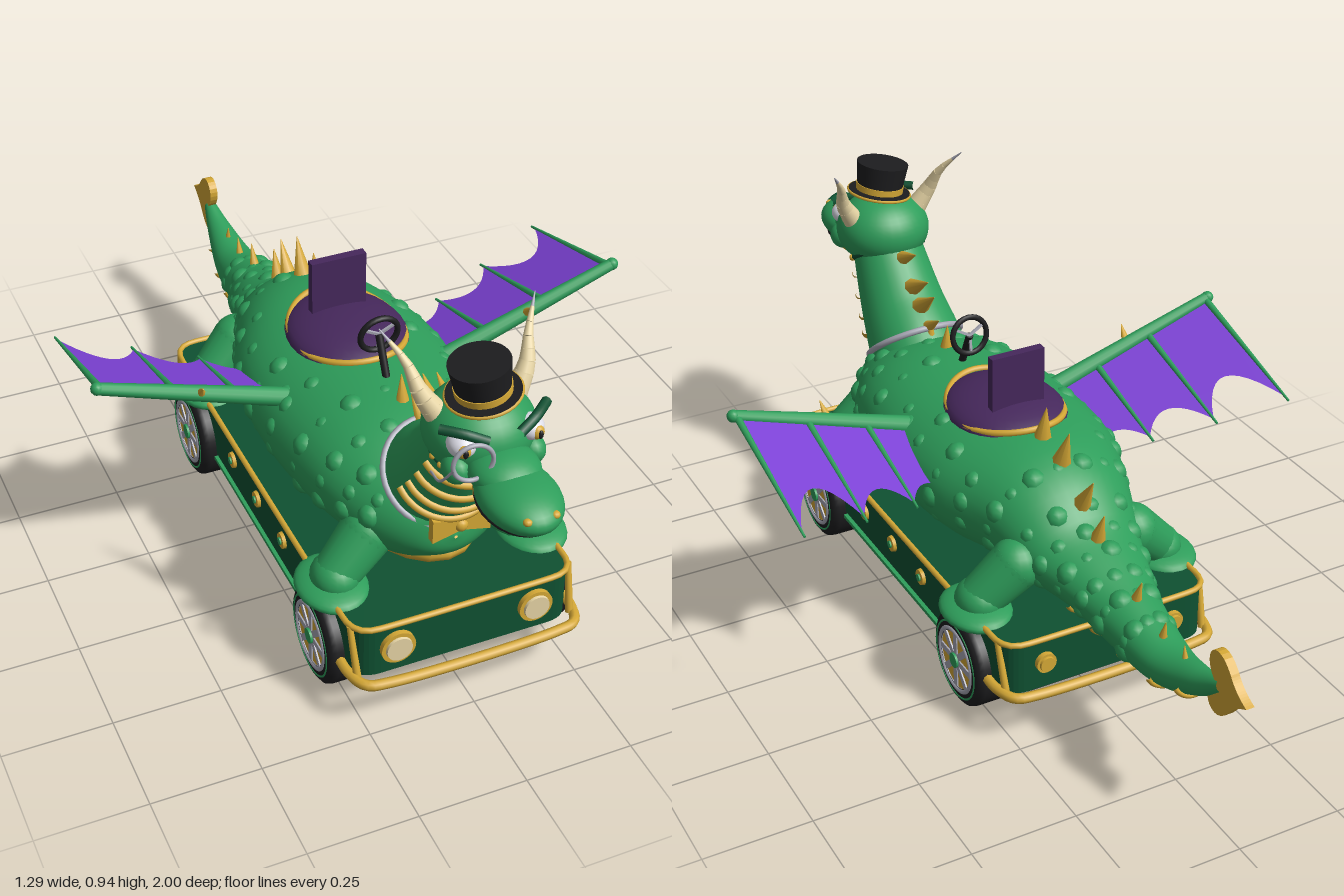
import * as THREE from 'three';

const mat = (name, color) => Object.assign(new THREE.MeshStandardMaterial({ color }), { name });
const V = (x, y, z) => new THREE.Vector3(x, y, z);

export function createModel() {
  const root = new THREE.Group();
  root.name = 'dragonCar';
  const green = mat('scale green', 0x2e9e5b), dark = mat('coach green', 0x0f5132);
  const gold = mat('gold', 0xd6a936), black = mat('black', 0x1d1d1f);
  const violet = mat('wing violet', 0x7d42d6), plum = mat('seat plum', 0x46285c);
  const cream = mat('horn cream', 0xe8d6a6), silver = mat('silver', 0xa9a9b6), white = mat('eye white', 0xdedee8);
  violet.side = THREE.DoubleSide;

  // Helpers
  const add = (name, geo, m, parent = root) => {
    const mesh = new THREE.Mesh(geo, m);
    mesh.name = name;
    parent.add(mesh);
    return mesh;
  };
  const ball = (name, m, p, r, w = 24, h = 16) => {
    const b = add(name, new THREE.SphereGeometry(1, w, h), m);
    b.position.set(...p);
    b.scale.set(...r);
    return b;
  };
  const box = (name, m, p, s, parent) => {
    const b = add(name, new THREE.BoxGeometry(...s), m, parent);
    b.position.set(...p);
    return b;
  };
  const tube = (name, pts, r, m, closed = false, n = 32) =>
    add(name, new THREE.TubeGeometry(new THREE.CatmullRomCurve3(pts, closed), n, r, 8, closed), m);
  const rod = (name, a, b, r0, r1, m, sides = 12) => {
    const d = b.clone().sub(a);
    const c = add(name, new THREE.CylinderGeometry(r1, r0, d.length(), sides), m);
    c.position.copy(a).addScaledVector(d, 0.5);
    c.quaternion.setFromUnitVectors(V(0, 1, 0), d.normalize());
    return c;
  };

  // Elliptical loft along a spine in the x = 0 plane; rows are [z, y, halfWidth, halfHeight]
  const makeLoft = (rows) => {
    const spine = new THREE.CatmullRomCurve3(rows.map(([z, y]) => V(0, y, z)), false, 'catmullrom');
    const radii = new THREE.CatmullRomCurve3(rows.map((r) => V(r[2], r[3], 0)), false, 'catmullrom');
    const at = (t, a, lift = 0) => {
      const c = spine.getPoint(t), r = radii.getPoint(t), d = spine.getTangent(t);
      const n = V(0, -d.z, d.y);
      const p = c.addScaledVector(n, (r.y + lift) * Math.sin(a));
      p.x = (r.x + lift) * Math.cos(a);
      return p;
    };
    const geometry = (steps, sides) => {
      const pos = [], idx = [];
      for (let i = 0; i <= steps; i++) for (let j = 0; j < sides; j++) {
        pos.push(...at(i / steps, (j / sides) * Math.PI * 2).toArray());
        if (i === steps) continue;
        const a = i * sides + j, b = i * sides + ((j + 1) % sides);
        idx.push(a, a + sides, b, b, a + sides, b + sides);
      }
      const g = new THREE.BufferGeometry();
      g.setAttribute('position', new THREE.Float32BufferAttribute(pos, 3));
      g.setIndex(idx);
      g.computeVertexNormals();
      return g;
    };
    return { at, geometry };
  };
  const band = (name, loft, t, a0, a1, r, m) => {
    const full = a1 - a0 > 6.2, n = 16;
    const pts = Array.from({ length: full ? n : n + 1 }, (_, i) => loft.at(t, a0 + ((a1 - a0) * i) / n, 0.002));
    return tube(name, pts, r, m, full, 40);
  };
  const spike = (loft, t, a, h) => {
    const base = loft.at(t, a, -0.01), tip = loft.at(t, a, h);
    tip.z -= h * 0.2;
    rod('backSpike', base, tip, h * 0.28, 0.001, gold, 8);
  };

  // Body and tail
  const body = makeLoft([
    [0.63, 0.38, 0.004, 0.004], [0.615, 0.38, 0.08, 0.06], [0.57, 0.385, 0.14, 0.1], [0.48, 0.39, 0.195, 0.13],
    [0.35, 0.402, 0.237, 0.153], [0.15, 0.403, 0.258, 0.157], [-0.05, 0.405, 0.245, 0.155], [-0.2, 0.4, 0.19, 0.142],
    [-0.33, 0.355, 0.145, 0.097], [-0.44, 0.333, 0.108, 0.073], [-0.55, 0.303, 0.078, 0.067],
    [-0.7, 0.285, 0.057, 0.049], [-0.82, 0.318, 0.034, 0.032], [-0.9, 0.36, 0.015, 0.015]]);
  add('body', body.geometry(72, 40), green);
  ball('belly', gold, [0, 0.31, 0.3], [0.165, 0.08, 0.31]);
  for (let i = 0; i < 15; i++) {
    const t = 0.2 + i * 0.043, n = i < 9 ? 11 : 7;
    for (let j = 0; j < n; j++) {
      const a = -0.35 + ((j + (i % 2) * 0.5) / (n - 0.5)) * 3.84;
      const p = body.at(t, a, -0.02);
      if (Math.abs(p.x) < 0.14 && p.y > 0.48 && p.z < 0.24 && p.z > -0.16) continue;
      const r = 0.027 + 0.004 * Math.sin(i * 5 + j * 3);
      ball('scaleBump', green, p.toArray(), [r, r, r], 10, 8);
    }
  }
  [[0.27, 0.05], [0.31, 0.06], [0.505, 0.08], [0.54, 0.085], [0.585, 0.08], [0.65, 0.07], [0.77, 0.05], [0.83, 0.04], [0.89, 0.03]]
    .forEach(([t, h]) => spike(body, t, Math.PI / 2, h));
  for (const t of [0.7, 0.75, 0.8, 0.85, 0.9]) band('tailBand', body, t, Math.PI + 0.3, Math.PI * 2 - 0.3, 0.007, gold);

  // Tail spade
  const spade = new THREE.Shape();
  spade.moveTo(0.885, 0.365);
  spade.bezierCurveTo(0.83, 0.42, 0.89, 0.48, 0.94, 0.415);
  spade.quadraticCurveTo(0.96, 0.385, 1, 0.37);
  spade.quadraticCurveTo(0.96, 0.35, 0.94, 0.32);
  spade.bezierCurveTo(0.89, 0.25, 0.83, 0.31, 0.885, 0.365);
  add('tailSpade', new THREE.ExtrudeGeometry(spade, { depth: 0.02, bevelEnabled: false })
    .rotateY(Math.PI / 2).translate(-0.01, 0, 0), gold);

  // Neck with bands, collar and bow
  const neck = makeLoft([[0.45, 0.38, 0.13, 0.13], [0.525, 0.48, 0.12, 0.12], [0.6, 0.565, 0.106, 0.102],
    [0.675, 0.68, 0.09, 0.082], [0.7, 0.73, 0.08, 0.075]]);
  add('neck', neck.geometry(24, 32), green);
  for (const t of [0.4, 0.49, 0.58, 0.67]) band('neckBand', neck, t, 0.15, Math.PI - 0.15, 0.009, gold);
  band('choker', neck, 0.76, 0, Math.PI * 2, 0.007, dark);
  for (let i = 0; i <= 10; i++)
    ball('chokerBead', gold, neck.at(0.76, 0.2 + i * 0.274, 0.006).toArray(), [0.008, 0.008, 0.008], 8, 6);
  band('collar', neck, 0.27, 0, Math.PI * 2, 0.008, silver);
  [[0.28, 0.06], [0.4, 0.085], [0.54, 0.085], [0.68, 0.07]].forEach(([t, h]) => spike(neck, t, -Math.PI / 2, h));
  const bow = new THREE.Shape([[0, 0.011], [0.068, 0.032], [0.068, -0.028], [0, -0.011], [-0.068, -0.028], [-0.068, 0.032]]
    .map((p) => new THREE.Vector2(...p)));
  add('bowTie', new THREE.ExtrudeGeometry(bow, { depth: 0.02, bevelEnabled: false }), gold).position.set(0, 0.43, 0.635);
  ball('bowKnot', gold, [0, 0.43, 0.65], [0.016, 0.016, 0.014], 12, 8);

  // Head
  ball('head', green, [0, 0.735, 0.705], [0.118, 0.092, 0.115], 32, 24);
  ball('snout', green, [0, 0.685, 0.885], [0.082, 0.047, 0.113], 32, 20);
  ball('muzzleBridge', green, [0, 0.705, 0.82], [0.075, 0.045, 0.08]);
  ball('mouth', black, [0, 0.655, 0.87], [0.074, 0.018, 0.105]);
  ball('lowerJaw', gold, [0, 0.643, 0.85], [0.064, 0.026, 0.105]);
  for (const s of [1, -1]) {
    ball('nostril', gold, [s * 0.03, 0.7, 0.978], [0.01, 0.008, 0.01], 10, 8);
    ball('cheek', green, [s * 0.083, 0.7, 0.775], [0.03, 0.032, 0.035], 16, 12);
    ball('eye', white, [s * 0.075, 0.76, 0.778], [0.03, 0.026, 0.034], 20, 14);
    ball('iris', gold, [s * 0.08, 0.76, 0.802], [0.015, 0.016, 0.013], 14, 10);
    ball('pupil', black, [s * 0.082, 0.76, 0.813], [0.006, 0.01, 0.005], 10, 8);
    tube('brow', [V(s * 0.035, 0.78, 0.815), V(s * 0.075, 0.797, 0.8), V(s * 0.118, 0.8, 0.765)], 0.011, dark, false, 12);
    // Horns taper in segments to a silver tip
    const horn = new THREE.CatmullRomCurve3([V(s * 0.085, 0.775, 0.69), V(s * 0.118, 0.83, 0.675),
      V(s * 0.135, 0.885, 0.645), V(s * 0.172, 0.943, 0.595)]);
    for (let i = 0; i < 8; i++)
      rod('horn', horn.getPoint(i / 8), horn.getPoint((i + 1) / 8), 0.026 * (1 - i / 8) + 0.001, 0.026 * (1 - (i + 1) / 8) + 0.001,
        i > 6 ? silver : cream, 16);
  }
  const monocle = add('monocle', new THREE.TorusGeometry(0.042, 0.005, 8, 32), silver);
  monocle.position.set(-0.078, 0.757, 0.838);
  monocle.rotation.y = -0.1;
  tube('monocleChain', [V(-0.12, 0.75, 0.838), V(-0.128, 0.7, 0.8), V(-0.105, 0.65, 0.71)], 0.003, silver, false, 16);

  // Top hat
  const hat = new THREE.Group();
  hat.name = 'topHat';
  hat.position.set(0, 0.825, 0.72);
  hat.rotation.z = 0.17;
  root.add(hat);
  add('hatBrim', new THREE.CylinderGeometry(0.078, 0.078, 0.008, 32), black, hat);
  add('hatCrown', new THREE.CylinderGeometry(0.065, 0.056, 0.075, 32), black, hat).position.y = 0.04;
  add('hatBand', new THREE.CylinderGeometry(0.0605, 0.06, 0.016, 32), gold, hat).position.y = 0.014;
  add('brimTrim', new THREE.TorusGeometry(0.078, 0.004, 6, 32).rotateX(Math.PI / 2), gold, hat);

  // Wings
  const wingY = (x, z) => 0.475 + (x - 0.17) * 0.335 - (0.15 - z) * 0.28;
  for (const s of [1, -1]) {
    const on = (x, z, up = 0) => V(s * x, wingY(x, z) + up, z);
    const sh = new THREE.Shape();
    sh.moveTo(0.17, 0.15);
    sh.lineTo(0.63, 0.15);
    sh.lineTo(0.622, -0.21);
    sh.quadraticCurveTo(0.54, 0.035, 0.455, -0.16);
    sh.quadraticCurveTo(0.385, -0.005, 0.31, -0.11);
    sh.quadraticCurveTo(0.26, -0.01, 0.2, -0.06);
    const g = new THREE.ShapeGeometry(sh, 12), p = g.attributes.position;
    for (let i = 0; i < p.count; i++) p.setXYZ(i, ...on(p.getX(i), p.getY(i)).toArray());
    g.computeVertexNormals();
    add('wingMembrane', g, violet);
    rod('wingArm', on(0.15, 0.155), on(0.63, 0.15), 0.024, 0.014, green);
    ball('wingTip', green, on(0.63, 0.15).toArray(), [0.015, 0.015, 0.015], 12, 8);
    ball('wingShoulder', green, on(0.185, 0.15).toArray(), [0.035, 0.03, 0.03], 16, 12);
    for (const [x, z] of [[0.622, -0.225], [0.455, -0.175], [0.31, -0.125]]) rod('wingRib', on(x, 0.15), on(x, z), 0.009, 0.003, green, 8);
    rod('wingClaw', on(0.4, 0.155), on(0.405, 0.19, 0.025), 0.013, 0.001, gold, 8);
  }

  // Seat and steering wheel
  ball('seat', plum, [0, 0.535, 0.04], [0.14, 0.05, 0.175], 32, 16);
  tube('seatRim', Array.from({ length: 24 }, (_, i) => {
    const a = (i / 24) * Math.PI * 2;
    return V(0.13 * Math.cos(a), 0.562 - 0.022 * Math.cos(a) ** 2, 0.04 + 0.16 * Math.sin(a));
  }), 0.008, gold, true, 64);
  box('seatBack', plum, [0, 0.635, -0.015], [0.135, 0.15, 0.022]);
  const wheelRing = new THREE.Group();
  wheelRing.name = 'steeringWheel';
  wheelRing.position.set(0, 0.645, 0.22);
  wheelRing.rotation.x = 0.15;
  root.add(wheelRing);
  add('steeringRim', new THREE.TorusGeometry(0.045, 0.007, 8, 28), black, wheelRing);
  for (let i = 0; i < 3; i++) {
    const sp = box('steeringSpoke', silver, [0, 0, 0], [0.006, 0.042, 0.006], wheelRing);
    sp.geometry.translate(0, 0.021, 0);
    sp.rotation.z = Math.PI / 3 + (i * Math.PI * 2) / 3;
  }
  rod('steeringColumn', V(0, 0.54, 0.27), V(0, 0.645, 0.22), 0.009, 0.009, black);

  // Legs and feet resting over the wheels
  for (const s of [1, -1]) for (const z of [0.52, -0.275]) {
    rod('leg', V(s * 0.15, 0.345, z - 0.02), V(s * 0.235, 0.265, z), 0.062, 0.052, green, 20);
    ball('hip', green, [s * 0.15, 0.345, z - 0.02], [0.062, 0.062, 0.062], 20, 14);
    ball('ankle', green, [s * 0.235, 0.265, z], [0.055, 0.05, 0.06], 20, 14);
    ball('foot', green, [s * 0.243, 0.242, z], [0.08, 0.027, 0.1]);
  }

  // Chassis
  const plan = (w, z0, z1, r) => {
    const sh = new THREE.Shape();
    sh.moveTo(-w + r, z0).lineTo(w - r, z0).quadraticCurveTo(w, z0, w, z0 + r).lineTo(w, z1 - r);
    sh.quadraticCurveTo(w, z1, w - r, z1).lineTo(-w + r, z1).quadraticCurveTo(-w, z1, -w, z1 - r);
    sh.lineTo(-w, z0 + r).quadraticCurveTo(-w, z0, -w + r, z0);
    return sh;
  };
  const slab = (name, sh, y0, y1, m) => add(name, new THREE.ExtrudeGeometry(sh, { depth: y1 - y0, bevelEnabled: false, curveSegments: 8 })
    .rotateX(Math.PI / 2).translate(0, y1, 0), m);
  slab('chassis', plan(0.262, -0.455, 0.695, 0.06), 0.115, 0.245, dark);
  slab('underPan', plan(0.24, -0.43, 0.67, 0.06), 0.092, 0.115, black);
  const edge = plan(0.264, -0.457, 0.697, 0.06).getPoints(6).slice(0, -1);
  tube('topTrim', edge.map((p) => V(p.x, 0.247, p.y)), 0.007, gold, true, 160);
  for (const [end, k] of [[0.74, 1], [-0.49, -1]]) {
    const c = [[0.27, 0.15], [0.27, 0.06], [0.25, 0.012], [0.2, 0]];
    const side = (s) => c.map(([x, d]) => V(s * x, 0.127, end - k * d));
    tube('bumper', [...side(1), ...side(-1).reverse()], 0.012, gold, false, 64);
    for (const s of [1, -1]) rod('bumperPost', V(s * 0.257, 0.127, end - k * 0.045), V(s * 0.262, 0.247, end - k * 0.075), 0.009, 0.007, gold);
  }
  // Lamps and side studs
  const lamp = (name, x, z, r, k, m) => {
    rod(name + 'Ring', V(x, 0.185, z), V(x, 0.185, z + k * 0.012), r * 1.22, r * 1.22, gold, 28);
    rod(name, V(x, 0.185, z), V(x, 0.185, z + k * 0.018), r, r * 0.9, m, 28);
  };
  for (const s of [1, -1]) {
    lamp('headlight', s * 0.165, 0.695, 0.033, 1, cream);
    lamp('tailLight', s * 0.165, -0.455, 0.02, -1, gold);
    box('sideRail', green, [s * 0.262, 0.103, 0.125], [0.012, 0.01, 0.6]);
    for (const z of [0.285, 0.125, -0.035]) {
      rod('sideStud', V(s * 0.26, 0.187, z), V(s * 0.27, 0.187, z), 0.021, 0.019, gold, 20);
      rod('sideStudCentre', V(s * 0.26, 0.187, z), V(s * 0.274, 0.187, z), 0.009, 0.009, green, 12);
    }
  }

  // Wheels
  const tyre = [[0.07, -0.05], [0.1, -0.05], [0.112, -0.042], [0.115, -0.03], [0.115, 0.03], [0.112, 0.042], [0.1, 0.05], [0.07, 0.05]]
    .map((p) => new THREE.Vector2(...p));
  const sideways = Math.PI / 2;
  for (const s of [1, -1]) for (const z of [0.527, -0.275]) {
    const wheel = new THREE.Group();
    wheel.name = 'wheel';
    wheel.position.set(s * 0.247, 0.115, z);
    root.add(wheel);
    add('tyre', new THREE.LatheGeometry(tyre, 40).rotateZ(sideways), black, wheel);
    add('wheelDisc', new THREE.CylinderGeometry(0.076, 0.076, 0.094, 32).rotateZ(sideways), gold, wheel);
    for (const k of [1, -1]) {
      add('rim', new THREE.TorusGeometry(0.077, 0.006, 8, 36).rotateY(sideways), silver, wheel).position.x = k * 0.048;
      add('tyreLine', new THREE.TorusGeometry(0.094, 0.003, 6, 36).rotateY(sideways), green, wheel).position.x = k * 0.049;
    }
    for (let i = 0; i < 4; i++) box('spoke', silver, [0, 0, 0], [0.101, 0.15, 0.016], wheel).rotation.x = (i * Math.PI) / 4;
    add('hub', new THREE.CylinderGeometry(0.018, 0.018, 0.112, 20).rotateZ(sideways), green, wheel);
  }
  return root;
}
